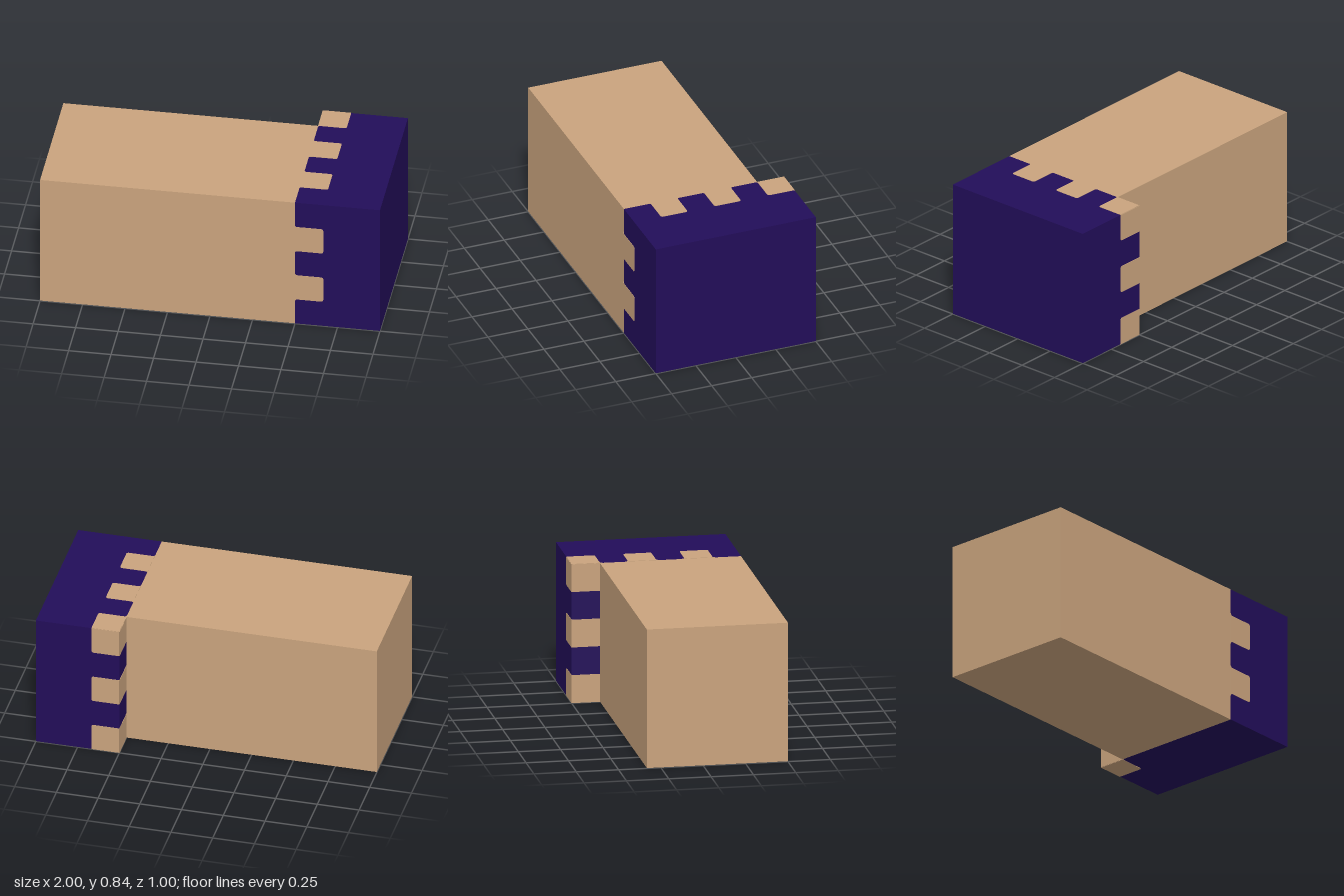
import * as THREE from 'three';

const C = 1 / 6;     // one joint cell
const R = 0.014;     // corner rounding of the painted teeth
const T = 0.002;     // plate thickness

const mat = (name, color) => {
  const m = new THREE.MeshStandardMaterial({ color });
  m.name = name;
  return m;
};

// Tooth pointing to +x from the root at x = 0, spanning y = 0..C.
// low / high: round that side's tip; flare: also blend that side into the root.
function toothShape(low, high, flare) {
  const s = new THREE.Shape();
  if (low && flare) {
    s.moveTo(0, -R);
    s.quadraticCurveTo(0, 0, R, 0);
  } else s.moveTo(0, 0);
  if (low) {
    s.lineTo(C - R, 0);
    s.quadraticCurveTo(C, 0, C, R);
  } else s.lineTo(C, 0);
  if (high) {
    s.lineTo(C, C - R);
    s.quadraticCurveTo(C, C, C - R, C);
  } else s.lineTo(C, C);
  if (high && flare) {
    s.lineTo(R, C);
    s.quadraticCurveTo(0, C, 0, C + R);
  } else s.lineTo(0, C);
  s.closePath();
  return s;
}

export function createModel() {
  const model = new THREE.Group();
  model.name = 'jointedBlock';
  const wood = mat('lightWood', 0xc9a37d);
  const dark = mat('darkPurple', 0x220d59);

  const box = (name, material, x0, x1, y0, y1, z0, z1, parent = model) => {
    const mesh = new THREE.Mesh(new THREE.BoxGeometry(x1 - x0, y1 - y0, z1 - z0), material);
    mesh.position.set((x0 + x1) / 2, (y0 + y1) / 2, (z0 + z1) / 2);
    mesh.name = name;
    parent.add(mesh);
  };

  // Long wooden body and the dark end block
  box('body', wood, -1, 0.5, 0, 5 * C, -2 * C, 0.5);
  box('endBlock', dark, 0.5, 1, 0, 5 * C, -0.5, 0.5);

  // Finger-joint inlays, one group per face
  const face = (name, x, y, z, rotX = 0) => {
    const g = new THREE.Group();
    g.name = name;
    g.position.set(x, y, z);
    g.rotation.x = rotX;
    model.add(g);
    return g;
  };
  const tooth = (parent, y, low, high, flare) => {
    const geo = new THREE.ExtrudeGeometry(toothShape(low, high, flare),
      { depth: T, bevelEnabled: false, curveSegments: 4 });
    const mesh = new THREE.Mesh(geo, wood);
    mesh.name = 'jointTooth';
    mesh.position.y = y;
    parent.add(mesh);
  };

  const front = face('frontTeeth', 0.5, 0, 0.5);
  for (const j of [1, 3]) tooth(front, j * C, true, true, true);

  const back = face('backTeeth', 0.5, 0, -0.5 - T);
  for (const j of [0, 2, 4]) tooth(back, j * C, j > 0, j < 4, false);

  const top = face('topTeeth', 0.5, 5 * C, 0, -Math.PI / 2);
  for (const k of [0, 2, 4]) tooth(top, (2 - k) * C, true, k > 0, true);

  const bottom = face('bottomTooth', 0.5, -T, 0, -Math.PI / 2);
  tooth(bottom, 2 * C, true, false, true);

  // Wooden cells on the exposed inner step
  const step = face('stepTeeth', 0, 0, 0);
  for (const j of [0, 2, 4])
    box('stepCell', wood, 0.5 - T, 0.5, j * C, (j + 1) * C, -0.5, -2 * C, step);

  return model;
}
